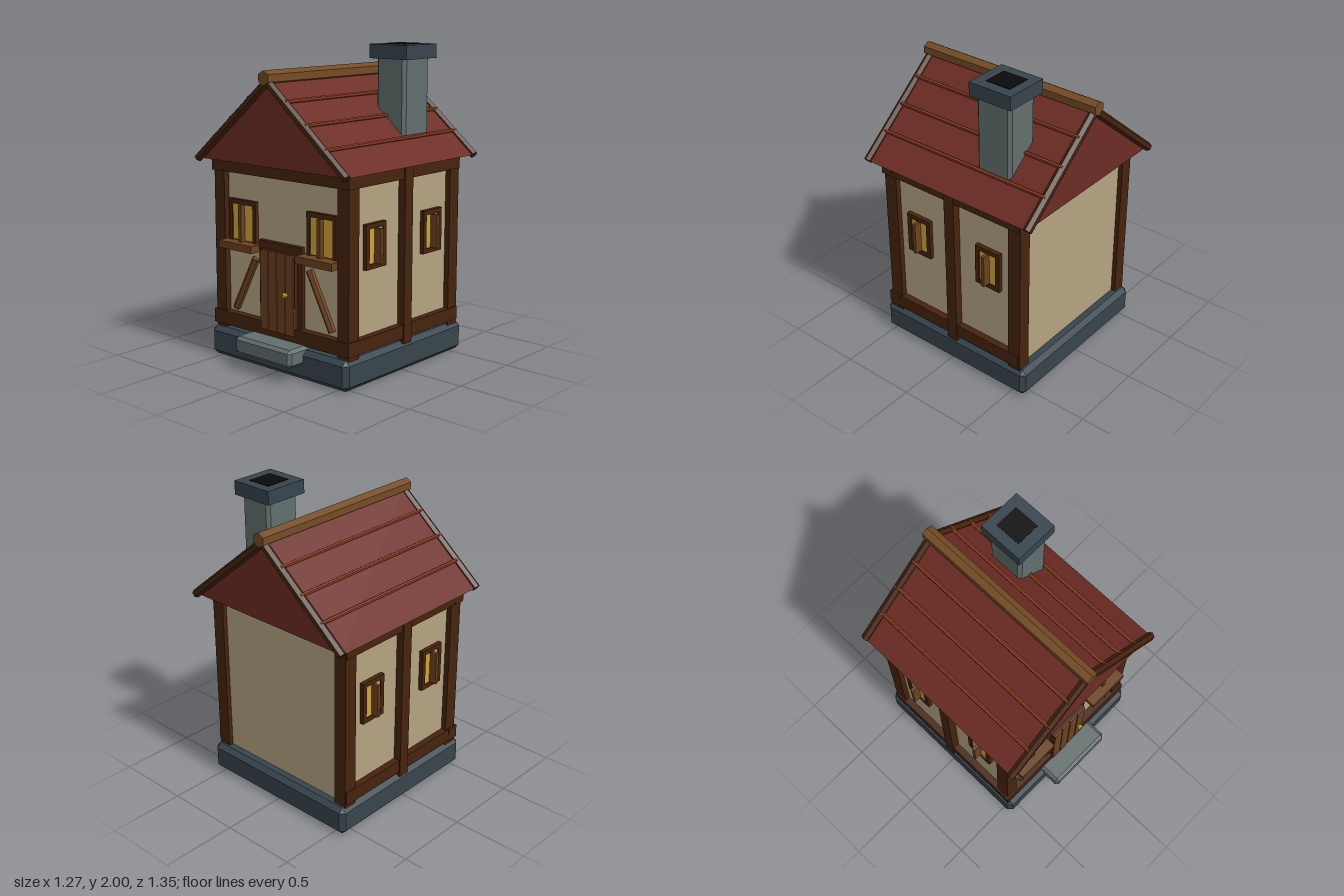
import * as THREE from 'three';
import { ConvexGeometry } from 'three/addons/geometries/ConvexGeometry.js';

const material = (name, color) => {
  const m = new THREE.MeshStandardMaterial({ color });
  m.name = name;
  return m;
};

// Splits all faces so that each is shaded flat
const faceted = (geometry) => {
  const flat = geometry.index ? geometry.toNonIndexed() : geometry;
  flat.computeVertexNormals();
  return flat;
};

export function createModel() {
  const model = new THREE.Group();
  model.name = 'cottage';

  const darkStone = material('dark stone', 0x37444d);
  const lightStone = material('light stone', 0x626f6e);
  const plaster = material('plaster', 0xb5a482);
  const darkWood = material('dark wood', 0x45230d);
  const midWood = material('mid wood', 0x6c4220);
  const ridgeWood = material('ridge wood', 0x744b24);
  const roofRed = material('roof red', 0x6c2c24);
  roofRed.side = THREE.DoubleSide;
  const seamRed = material('seam red', 0x8a3c20);
  const gold = material('gold', 0xd0a43c);
  const soot = material('soot', 0x0a0a0a);

  const add = (name, geometry, mat, parent = model) => {
    const mesh = new THREE.Mesh(geometry, mat);
    mesh.name = name;
    parent.add(mesh);
    return mesh;
  };
  // Box given by its lower and upper limits on each axis
  const box = (name, mat, [x0, x1], [y0, y1], [z0, z1], parent = model) => {
    const mesh = add(name, new THREE.BoxGeometry(x1 - x0, y1 - y0, z1 - z0), mat, parent);
    mesh.position.set((x0 + x1) / 2, (y0 + y1) / 2, (z0 + z1) / 2);
    return mesh;
  };
  // Box with every edge cut at 45 degrees
  const chamferBox = (name, mat, [x0, x1], [y0, y1], [z0, z1], c) => {
    const half = [(x1 - x0) / 2, (y1 - y0) / 2, (z1 - z0) / 2];
    const points = [];
    for (const sx of [-1, 1]) for (const sy of [-1, 1]) for (const sz of [-1, 1])
      for (let axis = 0; axis < 3; axis++) {
        const h = half.map((v, i) => (i === axis ? v : v - c));
        points.push(new THREE.Vector3(sx * h[0], sy * h[1], sz * h[2]));
      }
    const mesh = add(name, new ConvexGeometry(points), mat);
    mesh.position.set((x0 + x1) / 2, (y0 + y1) / 2, (z0 + z1) / 2);
    return mesh;
  };
  // Six-sided pole along z, with a corner on top
  const poleZ = (name, mat, r, x, y, z0, z1) => {
    const geometry = faceted(new THREE.CylinderGeometry(r, r, z1 - z0, 6).rotateX(Math.PI / 2));
    const mesh = add(name, geometry, mat);
    mesh.position.set(x, y, (z0 + z1) / 2);
    return mesh;
  };

  // Foundation, doorstep and walls
  chamferBox('foundation', darkStone, [-0.58, 0.58], [0, 0.19], [-0.6, 0.56], 0.03);
  chamferBox('doorstep', lightStone, [-0.237, 0.237], [0.1, 0.213], [0.38, 0.677], 0.02);
  box('walls', plaster, [-0.527, 0.527], [0.17, 1.245], [-0.527, 0.477]);

  // Timber frame on the front
  box('frontBottomBeam', darkWood, [-0.573, 0.573], [0.208, 0.297], [0.45, 0.53]);
  box('frontTopBeam', darkWood, [-0.573, 0.573], [1.207, 1.288], [0.45, 0.53]);

  for (const s of [-1, 1]) {
    const span = (a, b) => (s > 0 ? [a, b] : [-b, -a]);

    // Corner posts, side beams and middle post
    box('frontPost', darkWood, span(0.475, 0.562), [0.18, 1.288], [0.425, 0.517]);
    box('backPost', darkWood, span(0.475, 0.562), [0.18, 1.288], [-0.557, -0.465]);
    box('sideBottomBeam', darkWood, span(0.5, 0.571), [0.208, 0.295], [-0.553, 0.5]);
    box('sideTopBeam', darkWood, span(0.5, 0.571), [1.207, 1.288], [-0.553, 0.5]);
    box('sideMiddlePost', darkWood, span(0.5, 0.579), [0.175, 1.288], [-0.06, 0.016]);

    // Front window with sill
    const front = new THREE.Group();
    front.name = 'frontWindow';
    model.add(front);
    box('frameInner', darkWood, span(0.215, 0.242), [0.77, 1.035], [0.46, 0.502], front);
    box('frameOuter', darkWood, span(0.422, 0.45), [0.77, 1.035], [0.46, 0.502], front);
    box('frameTop', darkWood, span(0.242, 0.422), [1.005, 1.035], [0.46, 0.502], front);
    box('backing', darkWood, span(0.242, 0.422), [0.77, 1.005], [0.46, 0.488], front);
    box('mullion', midWood, span(0.319, 0.345), [0.77, 1.005], [0.47, 0.526], front);
    box('paneInner', gold, span(0.243, 0.317), [0.775, 1.004], [0.488, 0.495], front);
    box('paneOuter', gold, span(0.347, 0.421), [0.775, 1.004], [0.488, 0.495], front);
    box('sill', midWood, span(0.185, 0.477), [0.724, 0.77], [0.46, 0.572], front);

    // Six-sided diagonal brace below the window
    const brace = add('brace', faceted(new THREE.CylinderGeometry(0.025, 0.025, 0.395, 6)), midWood);
    brace.position.set(s * 0.318, 0.5, 0.487);
    brace.rotation.z = s * 0.48;

    // Side windows
    for (const z of [0.257, -0.297]) {
      const side = new THREE.Group();
      side.name = 'sideWindow';
      model.add(side);
      for (const t of [-1, 1]) {
        const c = z + t * 0.078;
        box('frameSide', darkWood, span(0.51, 0.555), [0.7, 0.975], [c - 0.015, c + 0.015], side);
        const p = z + t * 0.037;
        box('pane', gold, span(0.54, 0.547), [0.731, 0.945], [p - 0.025, p + 0.025], side);
      }
      for (const y of [0.7, 0.945])
        box('frameRail', darkWood, span(0.51, 0.555), [y, y + 0.03], [z - 0.063, z + 0.063], side);
      box('backing', darkWood, span(0.51, 0.54), [0.73, 0.945], [z - 0.063, z + 0.063], side);
      box('mullion', midWood, span(0.51, 0.597), [0.73, 0.945], [z - 0.011, z + 0.011], side);
    }

    // Rake boards along the gable edges
    const a = new THREE.Vector2(s * 0.616, 1.285), b = new THREE.Vector2(0, 1.797);
    const d = b.clone().sub(a);
    for (const z of [0.602, -0.645]) {
      const geometry = new THREE.CylinderGeometry(0.028, 0.028, d.length(), 6).rotateY(Math.PI / 6);
      const rake = add('rakeBoard', faceted(geometry), darkWood);
      rake.position.set((a.x + b.x) / 2, (a.y + b.y) / 2, z);
      rake.rotation.z = Math.atan2(d.y, d.x) - Math.PI / 2;
    }

    // Roof seams
    for (let i = 0; i < 3; i++)
      poleZ('roofSeam', seamRed, 0.013, s * (0.155 + i * 0.152), 1.689 - i * 0.128, -0.655, 0.612);
  }

  // Door with frame, four planks and knob
  box('doorPostRight', darkWood, [-0.18, -0.143], [0.21, 0.762], [0.46, 0.504]);
  box('doorPostLeft', darkWood, [0.143, 0.178], [0.21, 0.762], [0.46, 0.504]);
  box('doorLintel', darkWood, [-0.18, 0.178], [0.76, 0.807], [0.46, 0.507]);
  box('doorBacking', darkWood, [-0.143, 0.143], [0.252, 0.76], [0.46, 0.532]);
  for (let i = 0; i < 4; i++) {
    const x = -0.143 + i * 0.0715;
    box('doorPlank', midWood, [x + 0.003, x + 0.0685], [0.253, 0.758], [0.48, 0.541]);
  }
  add('doorKnob', new THREE.IcosahedronGeometry(0.022, 0), gold).position.set(0.087, 0.507, 0.56);

  // Hollow roof: two slopes and two gables, open underneath
  const [w, eave, top, zf, zb] = [0.618, 1.287, 1.808, 0.598, -0.642];
  const shell = new THREE.BufferGeometry();
  shell.setAttribute('position', new THREE.Float32BufferAttribute([
    -w, eave, zf, w, eave, zf, 0, top, zf,
    -w, eave, zb, w, eave, zb, 0, top, zb,
  ], 3));
  shell.setIndex([0, 1, 2, 4, 3, 5, 1, 4, 5, 1, 5, 2, 3, 0, 2, 3, 2, 5]);
  add('roof', faceted(shell), roofRed);
  poleZ('ridgePole', ridgeWood, 0.046, 0, 1.818, -0.677, 0.635);

  // Chimney
  chamferBox('chimneyShaft', lightStone, [0.218, 0.445], [1.31, 1.935], [-0.386, -0.135], 0.02);
  box('chimneyCap', darkStone, [0.185, 0.476], [1.908, 1.996], [-0.413, -0.112]);
  box('chimneyOpening', soot, [0.25, 0.408], [1.993, 2.0], [-0.352, -0.181]);

  return model;
}
